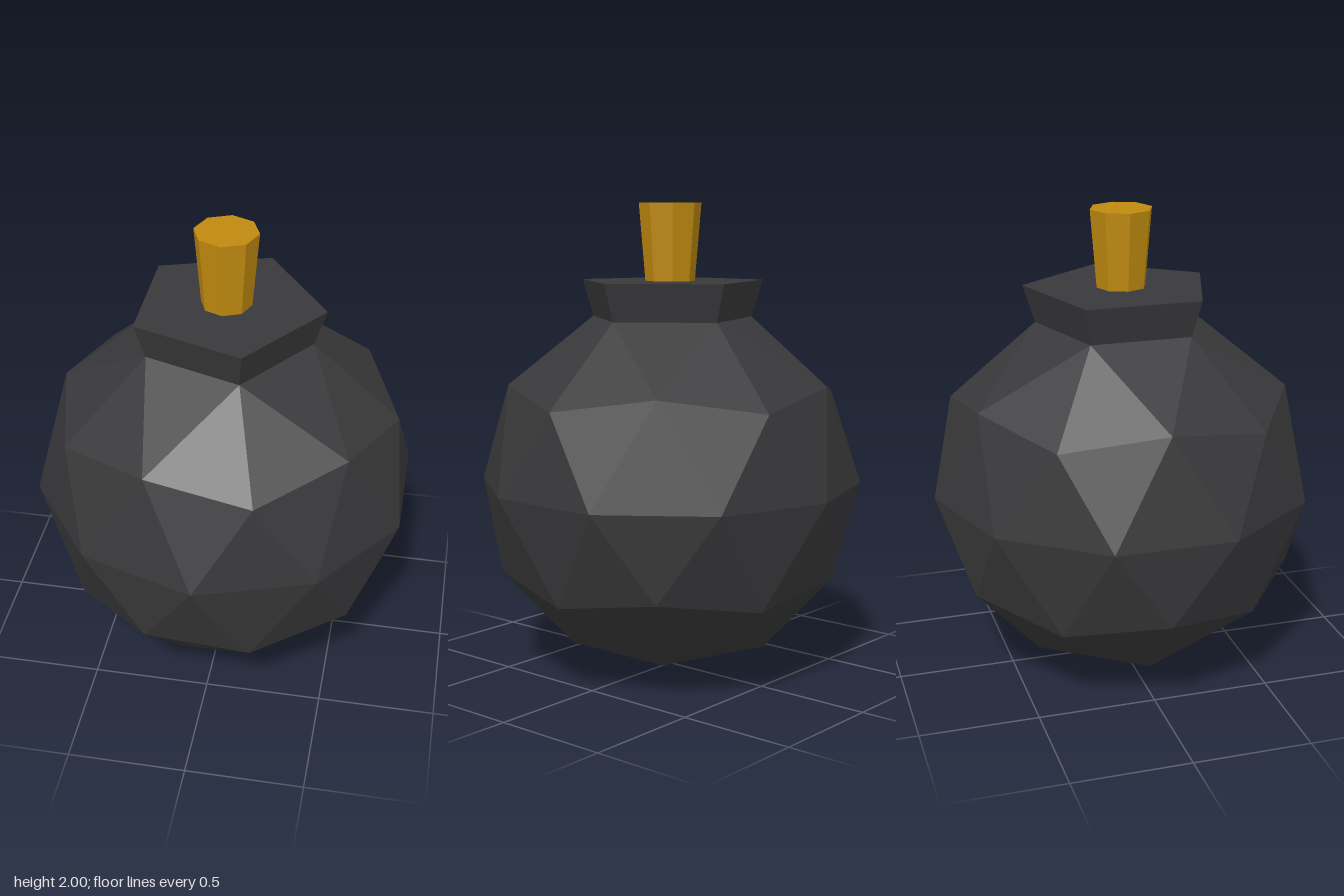
import * as THREE from 'three';

const iron = new THREE.MeshStandardMaterial({ color: 0x39393b, flatShading: true });
const brass = new THREE.MeshStandardMaterial({ color: 0xc08a10, flatShading: true });

const CENTER_Y = 0.82, RADIUS = 0.815;
const NECK_Y = 1.518, NECK_R = 0.36, COLLAR_Y = 1.675;

function addPart(group, name, geometry, material) {
  const mesh = new THREE.Mesh(geometry, material);
  mesh.name = name;
  group.add(mesh);
}

// Once-subdivided icosahedron standing on a vertex, its top cap cut off and the rim drawn in
function bodyGeometry() {
  const ico = new THREE.IcosahedronGeometry(1, 1);
  ico.rotateZ(-Math.atan(2 / (1 + Math.sqrt(5))));
  const pos = ico.attributes.position;
  const kept = [];
  for (let i = 0; i < pos.count; i += 3) {
    const tri = [0, 1, 2].map(k => new THREE.Vector3().fromBufferAttribute(pos, i + k));
    if (tri.some(v => v.y > 0.95)) continue;
    for (const v of tri) {
      const rim = v.y > 0.8;
      const s = rim ? NECK_R / Math.hypot(v.x, v.z) : RADIUS;
      kept.push(v.x * s, rim ? NECK_Y : CENTER_Y * (1 + v.y), v.z * s);
    }
  }
  const geometry = new THREE.BufferGeometry();
  geometry.setAttribute('position', new THREE.Float32BufferAttribute(kept, 3));
  geometry.computeVertexNormals();
  return geometry;
}

// Flared prism with a closed top and a corner pointing to +x
function flaredPrism(sides, r0, y0, r1, y1) {
  const profile = [[r0, y0], [r1, y1], [0, y1]].map(p => new THREE.Vector2(...p));
  return new THREE.LatheGeometry(profile, sides, Math.PI / 2);
}

export function createModel() {
  const group = new THREE.Group();
  group.name = 'bomb';
  addPart(group, 'body', bodyGeometry(), iron);
  addPart(group, 'collar', flaredPrism(5, NECK_R, NECK_Y, 0.41, COLLAR_Y), iron);
  addPart(group, 'fuse', flaredPrism(8, 0.105, COLLAR_Y, 0.132, 2), brass);
  return group;
}
